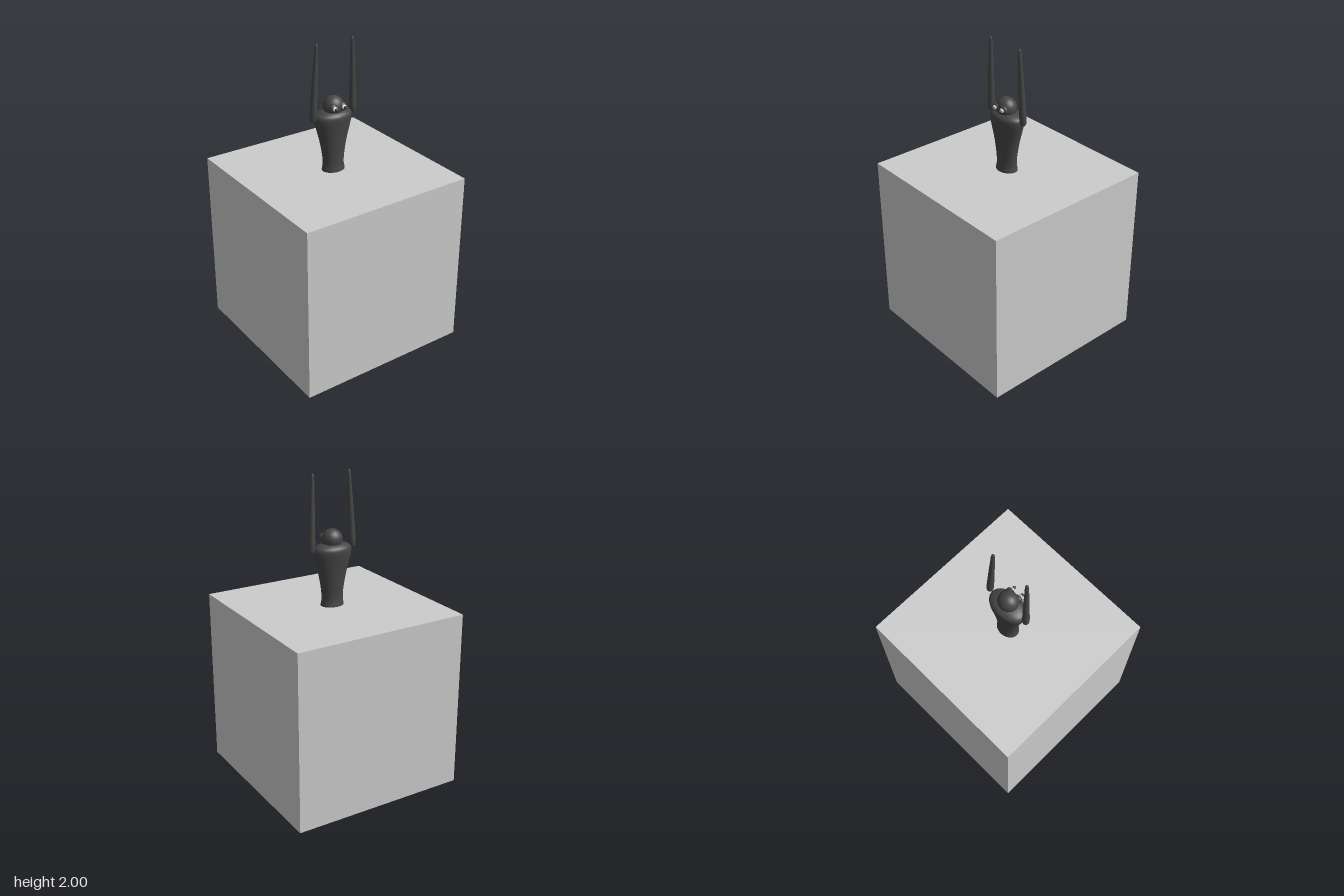
import * as THREE from 'three';

export function createModel() {
  const model = new THREE.Group();
  const mat = (name, color) => {
    const m = new THREE.MeshStandardMaterial({ color });
    m.name = name;
    return m;
  };
  const grey = mat('light grey', 0xcccccc);
  const dark = mat('charcoal', 0x464646);
  const white = mat('eye white', 0xf2f2f2);

  const add = (name, geometry, material, x = 0, y = 0, z = 0) => {
    const mesh = new THREE.Mesh(geometry, material);
    mesh.name = name;
    mesh.position.set(x, y, z);
    model.add(mesh);
    return mesh;
  };
  const ball = (rx, ry, rz) => new THREE.SphereGeometry(1, 32, 20).scale(rx, ry, rz);

  // Smooth turned shape through [radius, height] points
  const turned = (points, steps) => {
    const curve = new THREE.SplineCurve(points.map(([r, y]) => new THREE.Vector2(r, y)));
    const profile = curve.getPoints(steps);
    profile.forEach((p) => { p.x = Math.max(p.x, 0); });
    return new THREE.LatheGeometry(profile, 32);
  };

  // Pedestal
  add('pedestal', new THREE.BoxGeometry(1.16, 1.16, 1.16), grey, 0, 0.58, 0);

  // Torso: round at the waist, flattened front to back at the shoulders
  const torso = turned([
    [0, 1.15], [0.07, 1.152], [0.076, 1.165], [0.071, 1.2], [0.074, 1.26], [0.092, 1.36],
    [0.116, 1.45], [0.128, 1.505], [0.122, 1.535], [0.092, 1.553], [0.05, 1.562], [0, 1.565],
  ], 70);
  const pos = torso.attributes.position;
  for (let i = 0; i < pos.count; i++) {
    const t = THREE.MathUtils.smoothstep(pos.getY(i), 1.16, 1.5);
    pos.setZ(i, pos.getZ(i) * THREE.MathUtils.lerp(0.8, 0.66, t) - 0.003 * t);
  }
  torso.computeVertexNormals();
  add('torso', torso, dark);

  // Head
  add('head', ball(0.067, 0.066, 0.062), dark, 0, 1.583, 0.002);

  for (const side of [-1, 1]) {
    // Eye: socket, white and protruding pupil
    add('eyeSocket', ball(0.027, 0.027, 0.018), dark, side * 0.033, 1.588, 0.052);
    add('eyeWhite', ball(0.016, 0.014, 0.012), white, side * 0.033, 1.59, 0.067);
    add('pupil', ball(0.011, 0.011, 0.011), dark, side * 0.033, 1.59, 0.083);

    // Raised arm, detached from the shoulder and tapering to the fingertips
    const bottom = new THREE.Vector3(side * 0.148, 1.51, -0.002);
    const top = new THREE.Vector3(side * 0.128, 2, 0.015);
    const axis = top.clone().sub(bottom);
    const arm = add('arm', turned([
      [0, 0], [0.013, 0.004], [0.02, 0.02], [0.022, 0.06], [0.02, 0.15],
      [0.017, 0.28], [0.013, 0.4], [0.011, 0.46], [0.007, 0.485], [0, axis.length()],
    ], 50), dark);
    arm.position.copy(bottom);
    arm.quaternion.setFromUnitVectors(new THREE.Vector3(0, 1, 0), axis.normalize());
  }

  return model;
}
